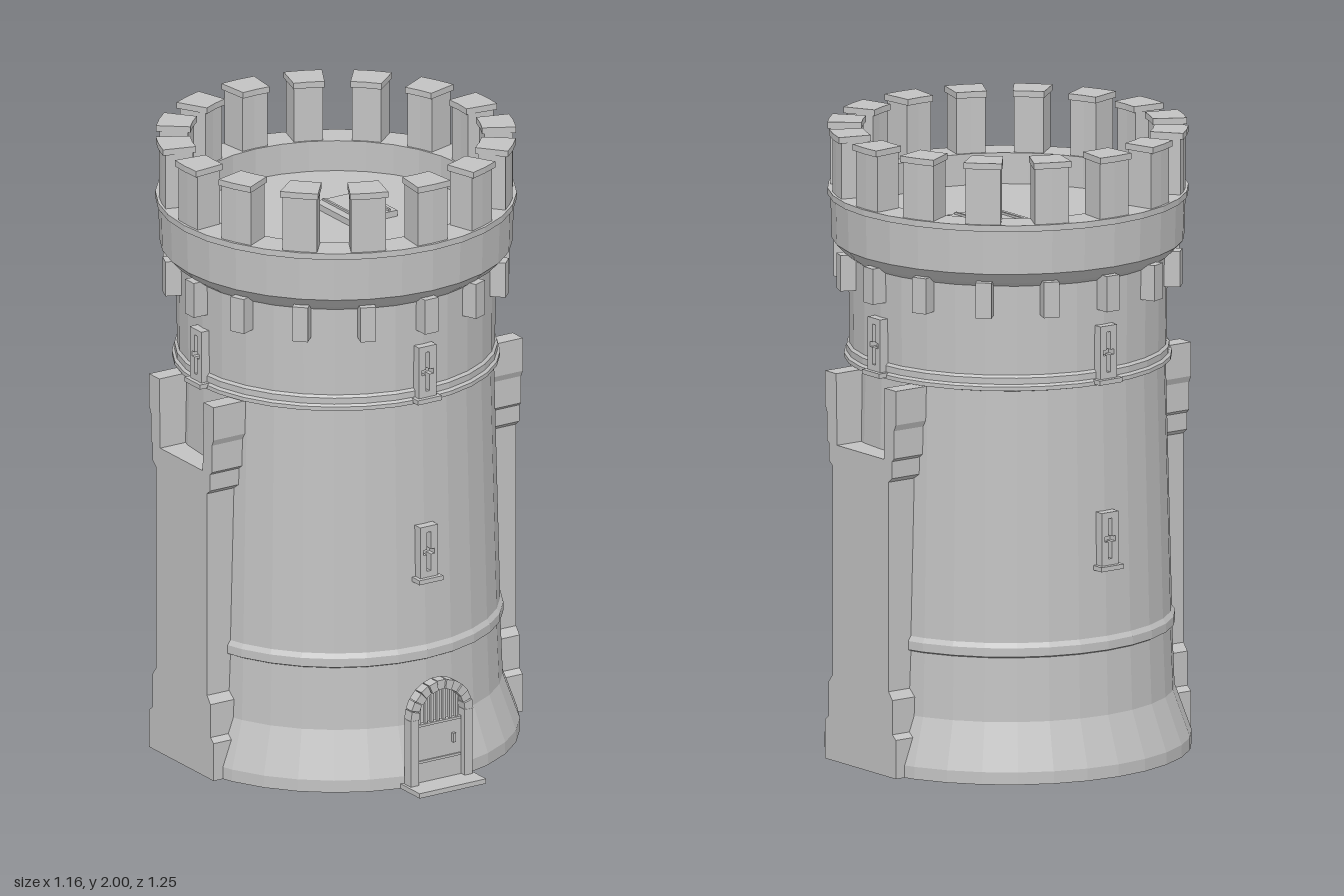
import * as THREE from 'three';

const CZ = -0.047;   // tower axis in z
const stone = new THREE.MeshStandardMaterial({ color: 0xc2c2c2 });
stone.name = 'stone';

function add(parent, name, geo) {
  const m = new THREE.Mesh(geo, stone);
  m.name = name;
  parent.add(m);
  return m;
}

function box(parent, name, w, h, d, x, y, z) {
  const m = add(parent, name, new THREE.BoxGeometry(w, h, d));
  m.position.set(x, y, z);
  return m;
}

// Faceted body of revolution from [radius, height] pairs
function lathe(points) {
  const g = new THREE.LatheGeometry(points.map(p => new THREE.Vector2(...p)), 32).toNonIndexed();
  g.computeVertexNormals();
  return g;
}

function polygon(points) {
  return new THREE.Shape(points.map(p => new THREE.Vector2(...p)));
}

function extrude(shape, depth) {
  return new THREE.ExtrudeGeometry(shape, { depth, bevelEnabled: false, curveSegments: 12 });
}

// Ring sector standing on y0, facing +z
function sector(r0, r1, half, y0, h) {
  const pts = [];
  for (const a of [-half, 0, half]) pts.push([r1 * Math.sin(a), -r1 * Math.cos(a)]);
  for (const a of [half, 0, -half]) pts.push([r0 * Math.sin(a), -r0 * Math.cos(a)]);
  return extrude(polygon(pts), h).rotateX(-Math.PI / 2).translate(0, y0, 0);
}

// Framed cross-shaped arrow slit with a sill
function arrowSlit(parent, angle, radius, y) {
  const g = new THREE.Group();
  g.name = 'arrowSlit';
  g.rotation.y = angle;
  const frame = polygon([[-0.033, 0], [0.033, 0], [0.033, 0.17], [-0.033, 0.17]]);
  const a = 0.007, b = 0.021;
  frame.holes.push(polygon([
    [-a, 0.02], [-a, 0.075], [-b, 0.075], [-b, 0.092], [-a, 0.092], [-a, 0.15],
    [a, 0.15], [a, 0.092], [b, 0.092], [b, 0.075], [a, 0.075], [a, 0.02]]));
  add(g, 'slitFrame', extrude(frame, 0.05)).position.set(0, y, radius - 0.05);
  box(g, 'slitSill', 0.09, 0.015, 0.07, 0, y - 0.008, radius - 0.022);
  parent.add(g);
}

export function createModel() {
  const model = new THREE.Group();
  model.name = 'castleTower';
  const tower = new THREE.Group();
  tower.name = 'tower';
  tower.position.z = CZ;
  model.add(tower);

  // Flared base, tapering shaft with two bands, parapet ring and roof floor
  add(tower, 'towerBody', lathe([
    [0, 0], [0.578, 0], [0.578, 0.04], [0.524, 0.19], [0.516, 0.395],
    [0.526, 0.4], [0.526, 0.428], [0.516, 0.443], [0.496, 1.25],
    [0.516, 1.255], [0.516, 1.268], [0.508, 1.275], [0.508, 1.295], [0.5, 1.303],
    [0.502, 1.59], [0.522, 1.605], [0.555, 1.64], [0.559, 1.778],
    [0.568, 1.78], [0.568, 1.8], [0.462, 1.8], [0.462, 1.7], [0, 1.7]]));

  // Sixteen merlons with caps and sixteen corbels
  for (let i = 0; i < 16; i++) {
    const bay = new THREE.Group();
    bay.name = 'battlementBay';
    bay.rotation.y = i * Math.PI / 8;
    add(bay, 'merlon', sector(0.468, 0.558, 0.1, 1.8, 0.18));
    add(bay, 'merlonCap', sector(0.46, 0.568, 0.108, 1.98, 0.02));
    box(bay, 'corbel', 0.05, 0.115, 0.08, 0, 1.553, 0.51);
    tower.add(bay);
  }

  // Roof hatch with two straps
  box(tower, 'hatch', 0.176, 0.02, 0.21, 0.1, 1.71, -0.04);
  for (const x of [0.044, 0.163]) box(tower, 'hatchStrap', 0.008, 0.008, 0.195, x, 1.723, -0.04);

  // Arrow slits: upper on four sides, lower at front and back
  for (let i = 0; i < 4; i++) arrowSlit(tower, i * Math.PI / 2, 0.527, 1.275);
  for (const a of [0, Math.PI]) arrowSlit(tower, a, 0.535, 0.675);

  // Stepped side buttresses with a notched head
  const side = [[0.185, 0], [0.185, 0.125], [0.167, 0.14], [0.167, 0.25], [0.147, 0.275],
    [0.147, 0.95], [0.165, 0.965], [0.165, 1.02], [0.176, 1.03], [0.176, 1.12],
    [0.185, 1.14], [0.185, 1.25], [0.127, 1.25], [0.122, 1.02]];
  const outline = polygon([...side, ...side.map(([x, y]) => [-x, y]).reverse()]);
  for (const s of [-1, 1]) {
    const b = add(tower, 'buttress', extrude(outline, 0.15));
    b.position.x = s * 0.43;
    b.rotation.y = s * Math.PI / 2;
  }

  // Front doorway
  const door = new THREE.Group();
  door.name = 'doorway';
  model.add(door);
  box(door, 'doorStep', 0.25, 0.016, 0.14, 0, 0.008, 0.555);
  const spring = 0.235, zBack = 0.525;
  for (const s of [-1, 1])
    box(door, 'doorJamb', 0.03, spring, 0.036, s * 0.101, spring / 2, zBack + 0.018);

  // Arch stones
  const stones = 11, step = Math.PI / stones;
  for (let i = 0; i < stones; i++) {
    const a0 = i * step + 0.012, a1 = (i + 1) * step - 0.012;
    const at = (r, a) => [r * Math.cos(a), r * Math.sin(a)];
    const depth = i % 2 ? 0.034 : 0.038;
    add(door, 'archStone', extrude(polygon([at(0.086, a0), at(0.117, a0), at(0.117, a1), at(0.086, a1)]), depth))
      .position.set(0, spring, zBack);
  }

  // Door leaf, rails, handle and grille
  box(door, 'doorLeaf', 0.172, 0.2, 0.016, 0, 0.11, 0.533);
  for (const y of [0.085, 0.207]) box(door, 'doorRail', 0.165, 0.008, 0.006, 0, y, 0.543);
  box(door, 'doorHandle', 0.01, 0.03, 0.012, 0.055, 0.145, 0.546);
  for (let i = -3; i <= 3; i++) {
    const x = i * 0.023;
    const top = spring + Math.sqrt(0.088 ** 2 - x * x);
    box(door, 'grilleBar', 0.009, top - 0.205, 0.012, x, (top + 0.205) / 2, 0.535);
  }
  return model;
}
